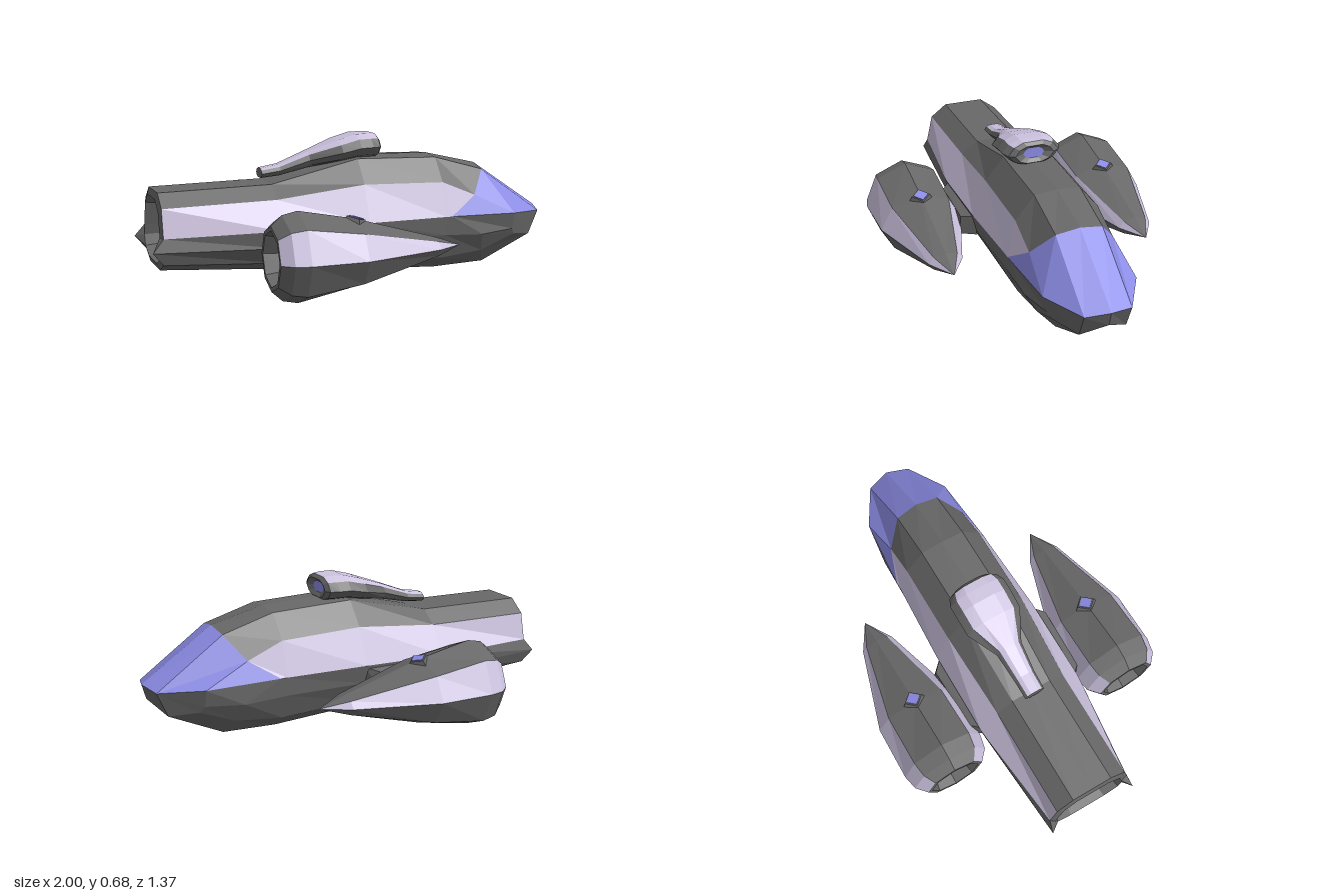
import * as THREE from 'three';
import { ConvexGeometry } from 'three/addons/geometries/ConvexGeometry.js';

const GREY = 0x686868, LILAC = 0xcdc3e0, BLUE = 0x8c8ce6;
const V = (p) => new THREE.Vector3(...p);
const flat = (color, side = THREE.FrontSide) => new THREE.MeshStandardMaterial({ color, side, flatShading: true });

function part(name, geometry, color, side) {
  const mesh = new THREE.Mesh(geometry, flat(color, side));
  mesh.name = name;
  return mesh;
}

// Polygons on the +z side, fanned into triangles and mirrored to -z
function mirrored(polys) {
  const pos = [];
  const fan = (poly) => {
    for (let i = 1; i < poly.length - 1; i++) {
      const [a, b, c] = [poly[0], poly[i], poly[i + 1]];
      const area = V(b).sub(V(a)).cross(V(c).sub(V(a))).length();
      if (area > 1e-7) pos.push(...a, ...b, ...c);
    }
  };
  for (const poly of polys) {
    fan(poly);
    fan(poly.map(([x, y, z]) => [x, y, -z]).reverse());
  }
  const g = new THREE.BufferGeometry();
  g.setAttribute('position', new THREE.Float32BufferAttribute(pos, 3));
  g.computeVertexNormals();
  return g;
}

// Loft half cross-sections (top to bottom); pick(s, j) gives the colour of a panel, or null for an opening
function shell(name, sections, pick, extra = []) {
  const byColor = new Map([[GREY, [...extra]]]);
  for (let s = 0; s < sections.length - 1; s++)
    for (let j = 0; j < sections[s].length - 1; j++) {
      const color = pick(s, j);
      if (color === null) continue;
      if (!byColor.has(color)) byColor.set(color, []);
      const [a, b] = [sections[s], sections[s + 1]];
      byColor.get(color).push([a[j], a[j + 1], b[j + 1], b[j]]);
    }
  const group = new THREE.Group();
  group.name = name;
  const label = { [GREY]: 'Body', [LILAC]: 'Panels', [BLUE]: 'Glass' };
  for (const [color, polys] of byColor) group.add(part(name + label[color], mirrored(polys), color));
  return group;
}

function makeHull() {
  const at = (x, rows) => rows.map(([y, z]) => [x, y, z]);
  const tail = at(-0.95, [[0.46, 0], [0.46, 0.1], [0.4, 0.18], [0.27, 0.21], [0.21, 0.22], [0.15, 0.2], [0.11, 0.11], [0.11, 0]]);
  tail[4][0] = -1;
  const inset = (x, k) => tail.map(([, y, z]) => [x, 0.28 + (y - 0.28) * k, z * k]);
  const sections = [
    inset(-0.8, 0), inset(-0.8, 0.7), inset(-0.96, 0.83), tail,
    at(-0.42, [[0.47, 0], [0.47, 0.1], [0.41, 0.18], [0.28, 0.27], [0.2, 0.26], [0.12, 0.2], [0.075, 0.11], [0.07, 0]]),
    at(0, [[0.58, 0], [0.57, 0.11], [0.46, 0.2], [0.29, 0.27], [0.2, 0.25], [0.1, 0.2], [0.04, 0.11], [0.03, 0]]),
    at(0.4, [[0.57, 0], [0.56, 0.11], [0.45, 0.2], [0.29, 0.25], [0.2, 0.24], [0.08, 0.19], [0.02, 0.11], [0.01, 0]]),
    // rear edge of the canopy, swept forward at the top
    [[0.66, 0.51, 0], [0.65, 0.49, 0.11], [0.57, 0.38, 0.2], [0.43, 0.29, 0.25], [0.6, 0.19, 0.235], [0.62, 0.1, 0.18], [0.66, 0.03, 0.11], [0.66, 0.025, 0]],
    // nose rim
    [[1, 0.28, 0], [0.97, 0.265, 0.11], [0.78, 0.28, 0.22], [0.78, 0.28, 0.22], [0.78, 0.2, 0.2], [0.8, 0.17, 0.18], [0.92, 0.15, 0.11], [0.98, 0.21, 0]],
  ];
  const n = sections[8], edge = sections[7];
  const caps = [[n[2], n[4], n[5], n[6], n[1]], [n[1], n[6], n[7], n[0]]];
  const hull = shell('hull', sections, (s, j) => {
    if (s === 7) return j < 3 ? BLUE : j === 6 ? null : GREY;
    return s >= 3 && j === 2 ? LILAC : GREY;
  }, caps);

  // Intake recessed under the nose
  const roof = [0.66, 0.2, 0.11], roofMid = [0.66, 0.2, 0];
  hull.add(part('noseIntake', mirrored([
    [edge[6], n[6], roof], [roof, n[6], n[7], roofMid], [edge[6], roof, roofMid, edge[7]],
  ]), GREY, THREE.DoubleSide));
  return hull;
}

function makeNacelle() {
  // x, vertical radius, sideways radius
  const sizes = [[-0.44, 0, 0], [-0.44, 0.1, 0.1], [-0.54, 0.125, 0.125], [-0.54, 0.145, 0.145], [-0.49, 0.19, 0.19],
    [-0.42, 0.205, 0.205], [-0.16, 0.155, 0.2], [0.23, 0.045, 0.08], [0.36, 0, 0]];
  const sections = sizes.map(([x, ry, rz]) => Array.from({ length: 5 }, (_, j) => {
    const a = j * Math.PI / 4;
    return [x, 0.205 + ry * Math.cos(a), rz * Math.sin(a)];
  }));
  const nacelle = shell('nacelle', sections, (s, j) => (s >= 3 && j === 1 ? LILAC : GREY));

  // Diamond sensor on the upper ridge
  const sensor = new THREE.Group();
  sensor.name = 'sensor';
  const base = part('sensorBase', new THREE.CylinderGeometry(0.045, 0.07, 0.05, 4), GREY);
  const lens = part('sensorLens', new THREE.CylinderGeometry(0.036, 0.036, 0.006, 4), BLUE);
  lens.position.y = 0.026;
  sensor.add(base, lens);
  sensor.position.set(-0.155, 0.338, 0);
  sensor.rotation.z = -0.26;
  nacelle.add(sensor);
  return nacelle;
}

function makeTurret() {
  // x, top, bottom, half width
  const sizes = [[-0.45, 0.515, 0.515, 0], [-0.45, 0.535, 0.49, 0.05], [-0.36, 0.55, 0.498, 0.052], [-0.22, 0.605, 0.53, 0.065],
    [-0.08, 0.655, 0.555, 0.14], [0.01, 0.68, 0.568, 0.142], [0.07, 0.682, 0.57, 0.142], [0.11, 0.68, 0.57, 0.125],
    [0.125, 0.665, 0.58, 0.095], [0.11, 0.65, 0.598, 0.052], [0.11, 0.624, 0.624, 0]];
  const sections = sizes.map(([x, t, b, w]) => {
    const h = t - b;
    return [[t, 0], [t, 0.4], [t - 0.18 * h, 0.76], [b + 0.48 * h, 1], [b + 0.15 * h, 0.76], [b, 0.4], [b, 0]]
      .map(([y, k]) => [x, y, k * w]);
  });
  const turret = shell('turret', sections, (s, j) => (s === 9 ? BLUE : s >= 1 && s < 7 && j < 2 ? LILAC : GREY));
  const neck = part('turretNeck', new THREE.BoxGeometry(0.12, 0.04, 0.12), GREY);
  neck.position.set(0.04, 0.57, 0);
  turret.add(neck);
  return turret;
}

export function createModel() {
  const model = new THREE.Group();
  model.name = 'spaceship';
  model.add(makeHull(), makeTurret());

  for (const side of [1, -1]) {
    const nacelle = makeNacelle();
    nacelle.position.z = 0.478 * side;
    model.add(nacelle);

    // Short pylon joining hull and nacelle
    const corners = [[-0.42, 0.28, 0.25], [0, 0.28, 0.25], [-0.42, 0.18, 0.25], [0, 0.18, 0.25],
      [-0.37, 0.26, 0.3], [-0.06, 0.26, 0.31], [-0.38, 0.18, 0.3], [-0.05, 0.175, 0.32]];
    model.add(part('pylon', new ConvexGeometry(corners.map(([x, y, z]) => V([x, y, z * side]))), GREY));
  }
  return model;
}
